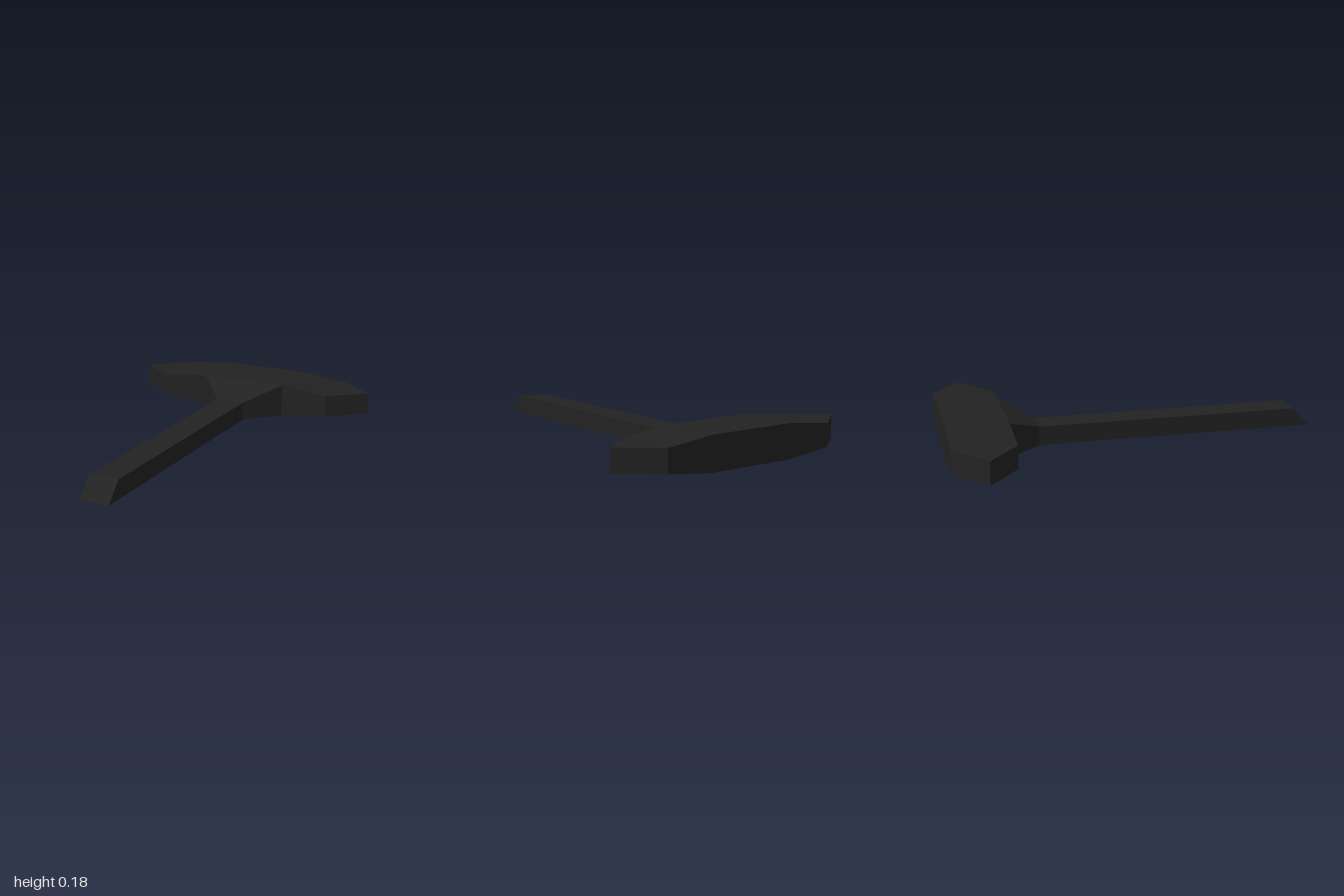
import * as THREE from 'three';

// Skins four-cornered rings (each counter-clockwise seen from the far end) into flat facets.
function loft(rings, capEnd = false) {
  const pos = [];
  const tri = (a, b, c) => {
    const area = b.clone().sub(a).cross(c.clone().sub(a)).length();
    if (area > 1e-6) for (const p of [a, b, c]) pos.push(p.x, p.y, p.z);
  };
  const quad = (a, b, c, d) => { tri(a, b, c); tri(a, c, d); };
  for (let s = 0; s < rings.length - 1; s++) {
    const a = rings[s], b = rings[s + 1];
    for (let i = 0; i < 4; i++) {
      const j = (i + 1) % 4;
      quad(a[i], a[j], b[j], b[i]);
    }
  }
  if (capEnd) quad(...rings[rings.length - 1]);
  const geometry = new THREE.BufferGeometry();
  geometry.setAttribute('position', new THREE.Float32BufferAttribute(pos, 3));
  geometry.computeVertexNormals();
  return geometry;
}

const v = (x, y, z) => new THREE.Vector3(x, y, z);

// Ring across the head at a given x
const headRing = ([x, y0, y1, z0, z1]) => [v(x, y0, z0), v(x, y1, z0), v(x, y1, z1), v(x, y0, z1)];

// Ring across the handle: half width, height, z of lower and upper edges
const handleRing = (w, h, zLow, zTop = zLow) => [v(-w, 0, zLow), v(w, 0, zLow), v(w, h, zTop), v(-w, h, zTop)];

export function createModel() {
  const black = new THREE.MeshStandardMaterial({ color: 0x222222 });
  black.name = 'black';
  const model = new THREE.Group();
  model.name = 'hammer';
  const add = (name, geometry) => {
    const mesh = new THREE.Mesh(geometry, black);
    mesh.name = name;
    model.add(mesh);
  };

  // Head: thick middle, thinner ends, pointed in plan; mirrored about x = 0
  const back = -1, front = -0.675, mid = -0.8375;
  const half = [
    [0.245, 0, 0.18, back, front],
    [0.51, 0.03, 0.15, back, front],
    [0.71, 0.03, 0.15, mid, mid],
  ];
  const mirrored = half.map(([x, ...rest]) => [-x, ...rest]).reverse();
  add('head', loft([...mirrored, ...half].map(headRing)));

  // Flared neck joining the handle to the head
  add('neck', loft([handleRing(0.245, 0.18, front), handleRing(0.08, 0.1, -0.5)]));

  // Straight handle with a bevelled front end
  add('handle', loft([handleRing(0.08, 0.1, -0.5), handleRing(0.08, 0.1, 1, 0.905)], true));

  return model;
}
